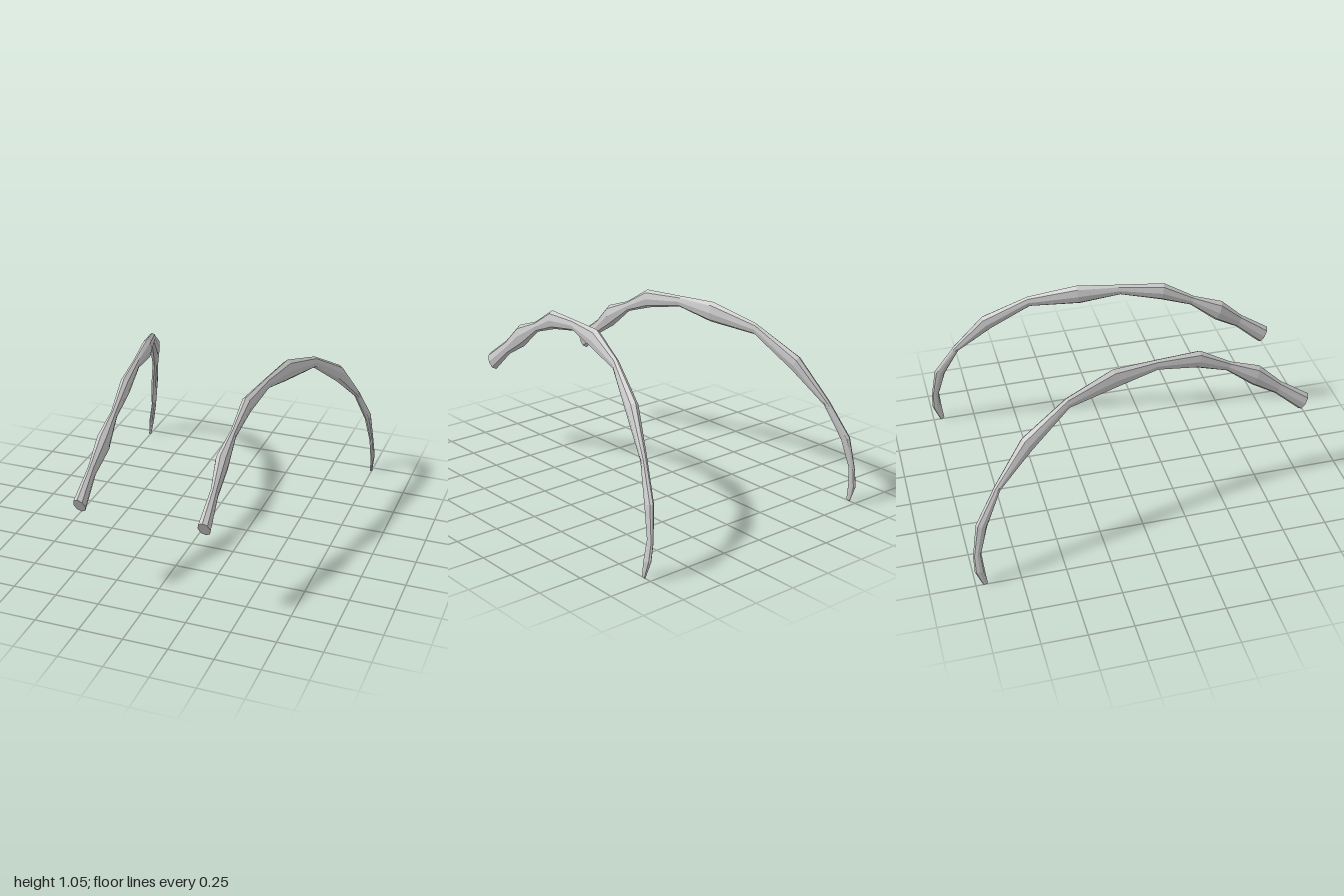
import * as THREE from 'three';

const SIDES = 8;

// Cross-sections from the front end to the rear tip:
// [centre x, half width, upper z, upper y, lower z, lower y]
const SECTIONS = [
  [0.345, 0.035, 1.0, 0.62, 0.95, 0.525],
  [0.342, 0.022, 0.83, 0.735, 0.8, 0.66],
  [0.333, 0.037, 0.7, 0.86, 0.66, 0.74],
  [0.338, 0.018, 0.53, 0.92, 0.51, 0.865],
  [0.348, 0.03, 0.35, 1.03, 0.33, 0.925],
  [0.382, 0.02, 0.1, 1.04, 0.1, 0.975],
  [0.42, 0.03, -0.15, 1.05, -0.13, 0.93],
  [0.5, 0.019, -0.42, 0.97, -0.41, 0.905],
  [0.584, 0.031, -0.68, 0.82, -0.63, 0.735],
  [0.657, 0.018, -0.85, 0.59, -0.82, 0.565],
  [0.709, 0.019, -0.97, 0.395, -0.91, 0.375],
  [0.733, 0.012, -1.0, 0.2, -0.955, 0.215],
  [0.747, 0.013, -1.0, 0.1, -0.945, 0.1],
  [0.75, 0.006, -0.96, 0.0, -0.935, 0.01],
];

// Arched limb lofted through the oval sections; sign -1 mirrors it
function limbGeometry(sign) {
  const centres = SECTIONS.map(([x, , uz, uy, lz, ly]) =>
    new THREE.Vector3(x, (uy + ly) / 2, (uz + lz) / 2));
  const last = SECTIONS.length - 1;
  const positions = [];
  const index = [];
  const face = (a, b, c) => index.push(a, ...(sign > 0 ? [b, c] : [c, b]));

  SECTIONS.forEach(([, half, uz, uy, lz, ly], i) => {
    const tangent = centres[Math.min(i + 1, last)].clone().sub(centres[Math.max(i - 1, 0)]);
    const up = new THREE.Vector3(0, (uy - ly) / 2, (uz - lz) / 2);
    const side = tangent.cross(up).setLength(half);
    for (let j = 0; j < SIDES; j++) {
      const angle = (j / SIDES) * Math.PI * 2;
      const p = centres[i].clone()
        .addScaledVector(side, Math.cos(angle))
        .addScaledVector(up, Math.sin(angle));
      positions.push(p.x * sign, p.y, p.z);
    }
  });

  // Walls between neighbouring sections
  for (let i = 0; i < last; i++) {
    for (let j = 0; j < SIDES; j++) {
      const a = i * SIDES + j;
      const b = i * SIDES + ((j + 1) % SIDES);
      face(a, a + SIDES, b);
      face(b, a + SIDES, b + SIDES);
    }
  }
  // Flat end caps
  const end = last * SIDES;
  for (let j = 1; j < SIDES - 1; j++) {
    face(0, j, j + 1);
    face(end, end + j + 1, end + j);
  }

  const geometry = new THREE.BufferGeometry();
  geometry.setAttribute('position', new THREE.Float32BufferAttribute(positions, 3));
  geometry.setIndex(index);
  const faceted = geometry.toNonIndexed();
  faceted.computeVertexNormals();
  return faceted;
}

export function createModel() {
  const model = new THREE.Group();
  model.name = 'archedLimbs';
  const material = new THREE.MeshStandardMaterial({ color: 0xcccccc, flatShading: true });
  for (const [name, sign] of [['leftLimb', 1], ['rightLimb', -1]]) {
    const limb = new THREE.Mesh(limbGeometry(sign), material);
    limb.name = name;
    model.add(limb);
  }
  return model;
}
